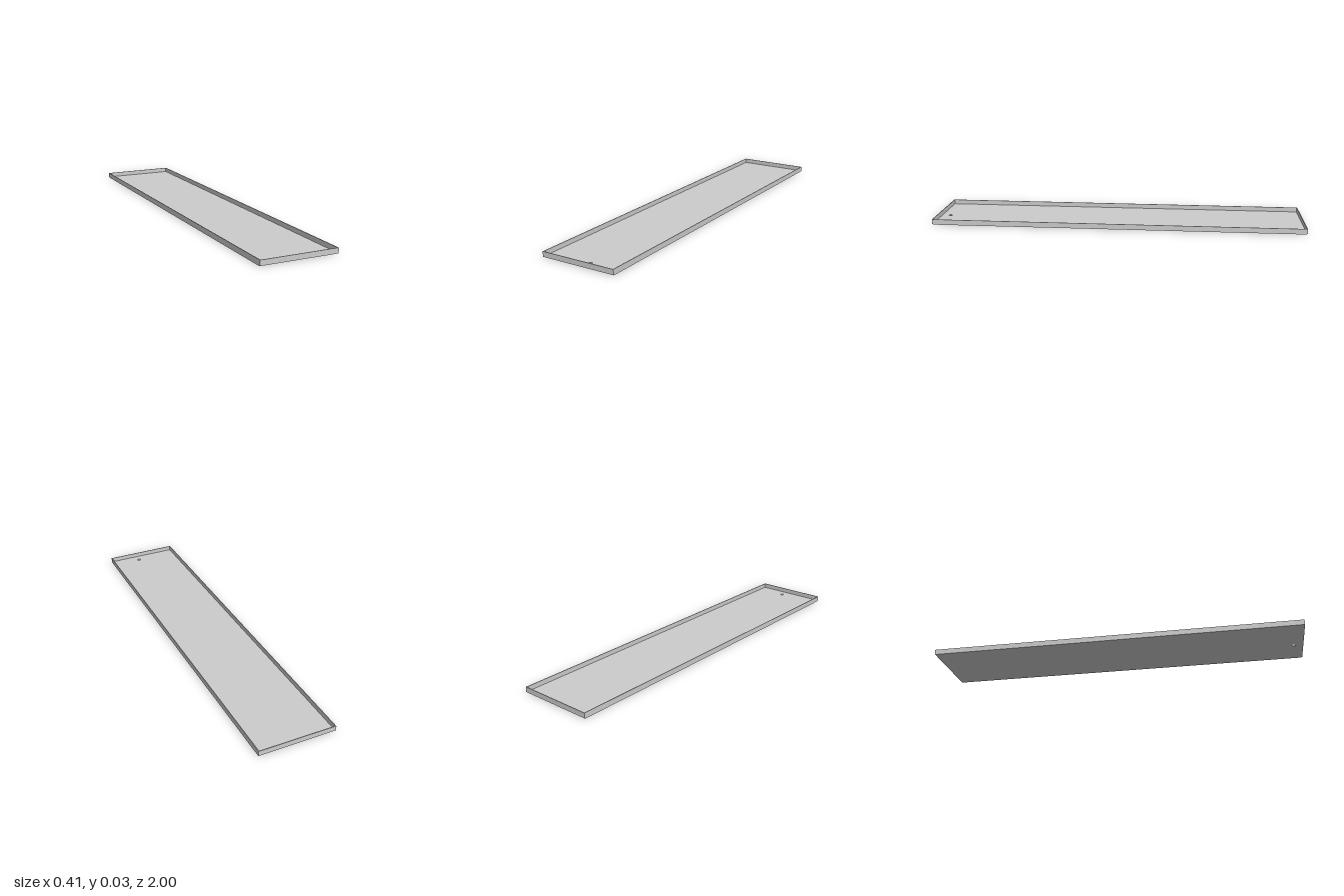
import * as THREE from 'three';

const W = 0.408, L = 2, H = 0.029, T = 0.004; // width, length, height, sheet thickness

export function createModel() {
  const group = new THREE.Group();
  const material = new THREE.MeshStandardMaterial({ color: 0xcccccc, flatShading: true });
  const add = (name, geometry, x, y, z) => {
    const mesh = new THREE.Mesh(geometry, material);
    mesh.name = name;
    mesh.position.set(x, y, z);
    group.add(mesh);
    return mesh;
  };

  // Floor sheet with a small drain hole near the front end
  const w = W / 2 - T, l = L / 2 - T;
  const outline = new THREE.Shape([
    new THREE.Vector2(-w, -l), new THREE.Vector2(w, -l),
    new THREE.Vector2(w, l), new THREE.Vector2(-w, l),
  ]);
  const hole = new THREE.Path();
  hole.absarc(0.035, -0.95, 0.01, 0, Math.PI * 2, true);
  outline.holes.push(hole);
  const floor = new THREE.ExtrudeGeometry(outline, { depth: T, bevelEnabled: false, curveSegments: 16 });
  floor.rotateX(-Math.PI / 2);
  add('floor', floor, 0, 0, 0);

  for (const s of [1, -1]) {
    // Long upturned sides
    add(s > 0 ? 'leftWall' : 'rightWall', new THREE.BoxGeometry(T, H, L - 2 * T), s * (W - T) / 2, H / 2, 0);
    // Upturned ends, spanning the full width just above the floor's underside
    add(s > 0 ? 'frontWall' : 'backWall', new THREE.BoxGeometry(W, H - 0.002, T), 0, H / 2 + 0.001, s * (L - T) / 2);
  }
  return group;
}
